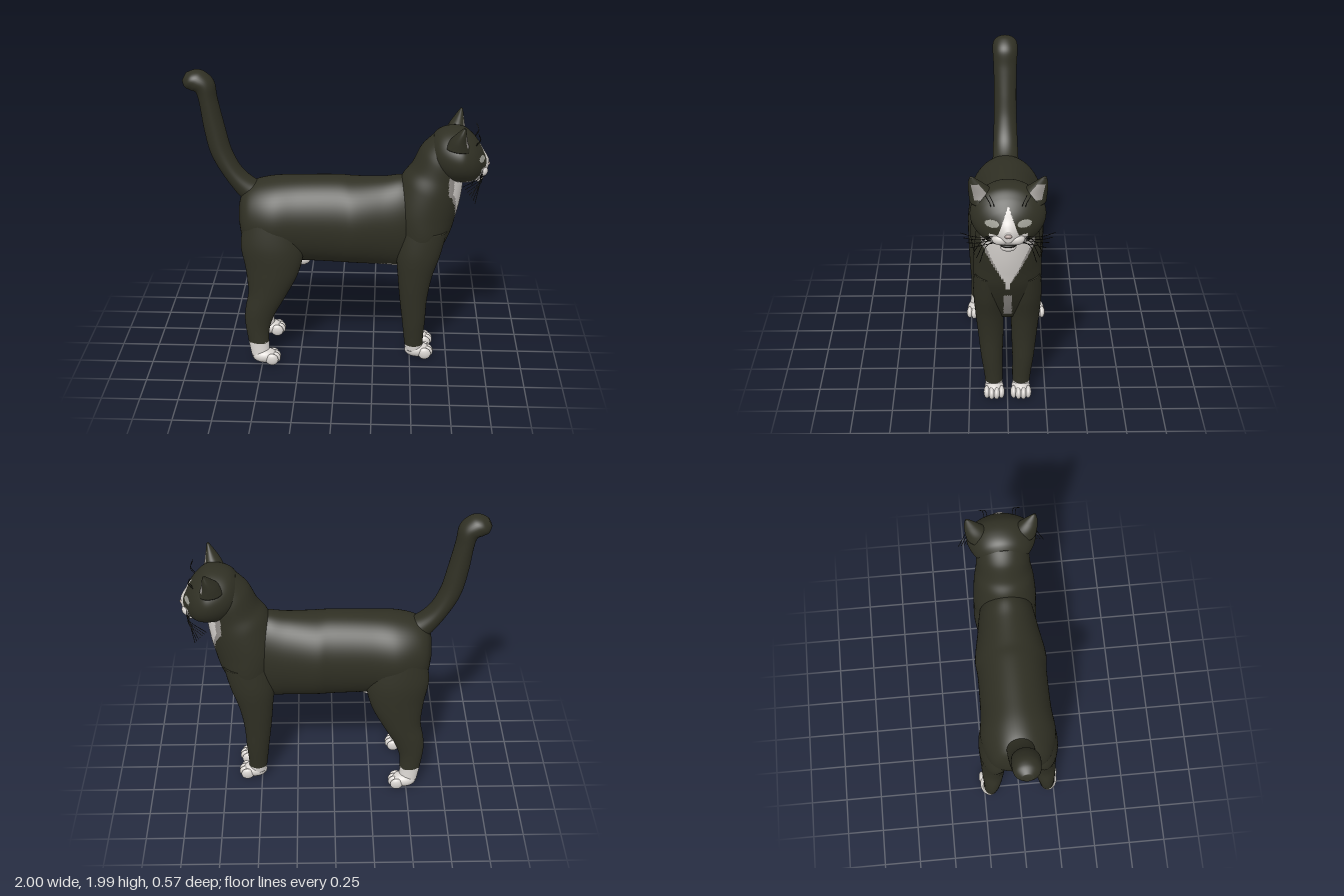
import * as THREE from 'three';

const material = (name, color) => {
  const m = new THREE.MeshStandardMaterial({ color });
  m.name = name;
  return m;
};
const fur = material('black fur', 0x303024);
const white = material('white fur', 0xd8d4d0);
const grey = material('grey fur', 0x96928e);
const eyeColor = material('pale eye', 0xa3a39a);
const noseColor = material('nose pink', 0xb5a5a0);
const dark = material('dark lines', 0x1c1b17);

const spline = (a, b, c, d, t) =>
  b + 0.5 * t * (c - a + t * (2 * a - 5 * b + 4 * c - d + t * (3 * (b - c) + d - a)));

// Smooth skin through oval sections. Each section is [px, py, qx, qy, zCentre, zHalf]:
// P and Q are opposite edges in the side plane. The rule picks a material per face.
function loft(name, sections, { side = 1, around = 40, steps = 8, mats = [fur], rule = () => 0 } = {}) {
  const pos = [], sins = [], tris = [];
  const last = sections.length - 1, rings = last * steps + 1;
  const at = (i) => sections[Math.min(last, Math.max(0, i))];
  for (let r = 0; r < rings; r++) {
    const i = Math.min(last - 1, Math.floor(r / steps)), t = r / steps - i;
    const [px, py, qx, qy, zc, zh] = at(i).map((v, k) => spline(at(i - 1)[k], v, at(i + 1)[k], at(i + 2)[k], t));
    for (let j = 0; j < around; j++) {
      const a = (j / around) * Math.PI * 2, s = Math.sin(a);
      pos.push((px + qx) / 2 + (s * (px - qx)) / 2, (py + qy) / 2 + (s * (py - qy)) / 2, zc * side + Math.cos(a) * zh);
      sins.push(s);
    }
  }
  for (let r = 0; r < rings - 1; r++) {
    for (let j = 0; j < around; j++) {
      const a = r * around + j, b = r * around + ((j + 1) % around);
      tris.push([a, b, b + around], [a, b + around, a + around]);
    }
  }
  // End caps
  for (const [k, flip] of [[0, true], [last, false]]) {
    const [px, py, qx, qy, zc] = sections[k];
    const c = pos.length / 3, base = k ? (rings - 1) * around : 0;
    pos.push((px + qx) / 2, (py + qy) / 2, zc * side);
    sins.push(0);
    for (let j = 0; j < around; j++) {
      const a = base + j, b = base + ((j + 1) % around);
      tris.push(flip ? [b, a, c] : [a, b, c]);
    }
  }
  // Turn faces outward, using the signed volume
  const point = (i) => new THREE.Vector3().fromArray(pos, i * 3);
  let volume = 0;
  for (const [a, b, c] of tris) volume += point(a).dot(point(b).cross(point(c)));
  const buckets = mats.map(() => []);
  for (const [a, b, c] of tris) {
    const m = point(a).add(point(b)).add(point(c)).divideScalar(3);
    const k = rule(m.x, m.y, m.z, (sins[a] + sins[b] + sins[c]) / 3);
    buckets[k].push(...(volume < 0 ? [a, c, b] : [a, b, c]));
  }
  const geo = new THREE.BufferGeometry();
  geo.setAttribute('position', new THREE.Float32BufferAttribute(pos, 3));
  geo.setIndex(buckets.flat());
  let start = 0;
  buckets.forEach((bucket, k) => {
    geo.addGroup(start, bucket.length, k);
    start += bucket.length;
  });
  geo.computeVertexNormals();
  const mesh = new THREE.Mesh(geo, mats);
  mesh.name = name;
  return mesh;
}

function blob(name, mat, center, radii) {
  const mesh = new THREE.Mesh(new THREE.SphereGeometry(1, 24, 16), mat);
  mesh.name = name;
  mesh.position.set(...center);
  mesh.scale.set(...radii);
  return mesh;
}

function hair(name, points) {
  const curve = new THREE.CatmullRomCurve3(points.map((p) => new THREE.Vector3(...p)));
  const mesh = new THREE.Mesh(new THREE.TubeGeometry(curve, 10, 0.0022, 5), dark);
  mesh.name = name;
  return mesh;
}

// Foot with four toes
function paw(name, x, z) {
  const group = new THREE.Group();
  group.name = name;
  group.add(blob('pawBase', white, [x, 0.055, z], [0.085, 0.05, 0.062]));
  [-1.5, -0.5, 0.5, 1.5].forEach((k) => {
    const reach = Math.abs(k) > 1 ? 0.052 : 0.066;
    group.add(blob('toe', white, [x + reach, 0.044, z + k * 0.032], [0.043, 0.041, 0.021]));
  });
  return group;
}

export function createModel() {
  const cat = new THREE.Group();
  cat.name = 'cat';

  // Trunk with a pale belly stripe: [x, bottom, top, half width]
  const trunk = [
    [-0.65, 0.92, 1.1, 0.08], [-0.62, 0.8, 1.19, 0.17], [-0.55, 0.72, 1.24, 0.22], [-0.42, 0.69, 1.27, 0.25],
    [-0.25, 0.69, 1.28, 0.235], [0, 0.68, 1.285, 0.232], [0.12, 0.675, 1.277, 0.24], [0.3, 0.665, 1.28, 0.21],
    [0.42, 0.66, 1.295, 0.19], [0.5, 0.72, 1.28, 0.17],
  ].map(([x, low, high, half]) => [x, low, x, high, 0, half]);
  cat.add(loft('trunk', trunk, {
    around: 64, mats: [fur, white],
    rule: (x, y, z) => (x > -0.27 && y < 0.8 && Math.abs(z) < 0.09 ? 1 : 0),
  }));
  cat.add(blob('bellyTuft', white, [-0.24, 0.683, 0], [0.06, 0.042, 0.05]));

  // Chest and neck with a tapering bib
  cat.add(loft('chestAndNeck', [
    [0.58, 0.6, 0.46, 0.6, 0, 0.07], [0.67, 0.74, 0.4, 0.71, 0, 0.18], [0.75, 0.9, 0.38, 0.88, 0, 0.212],
    [0.785, 1.02, 0.36, 1.08, 0, 0.212], [0.81, 1.13, 0.42, 1.28, 0, 0.2], [0.825, 1.24, 0.49, 1.38, 0, 0.182],
    [0.82, 1.3, 0.55, 1.5, 0, 0.175], [0.8, 1.38, 0.63, 1.58, 0, 0.16],
  ], {
    around: 96, steps: 12, mats: [fur, white, grey],
    rule: (x, y, z, front) => {
      if (front < 0.1) return 0;
      const d = Math.abs(z);
      const bib = Math.min(0.165, 0.012 + Math.max(0, y - 0.94) * 0.55);
      if (y > 0.9 && d < bib) return d < bib * 0.85 ? 1 : 2;
      return y > 0.64 && y < 0.84 && d < 0.026 ? 2 : 0;
    },
  }));

  // Head with blaze, muzzle patch and eyes
  cat.add(loft('head', [
    [0.62, 1.38, 0.6, 1.54, 0, 0.1], [0.66, 1.32, 0.66, 1.61, 0, 0.17], [0.73, 1.28, 0.74, 1.635, 0, 0.215],
    [0.8, 1.27, 0.82, 1.628, 0, 0.228], [0.87, 1.27, 0.88, 1.585, 0, 0.198], [0.92, 1.29, 0.925, 1.53, 0, 0.145],
    [0.95, 1.3, 0.955, 1.48, 0, 0.085], [0.97, 1.33, 0.975, 1.45, 0, 0.055], [0.985, 1.35, 0.99, 1.42, 0, 0.03],
  ], {
    around: 112, steps: 14, mats: [fur, white, eyeColor],
    rule: (x, y, z) => {
      const d = Math.abs(z);
      if (x > 0.8 && ((d - 0.097) / 0.042) ** 2 + ((y - 1.45) / 0.023) ** 2 < 1) return 2;
      if (x > 0.84 && y < 1.385 && d < 0.115) return 1;
      if (x > 0.72 && y < 1.31 && d < 0.13) return 1;
      return x > 0.84 && y >= 1.385 && d < 0.37 * (1.555 - y) ? 1 : 0;
    },
  }));
  cat.add(blob('nose', noseColor, [0.983, 1.388, 0], [0.017, 0.015, 0.023]));
  cat.add(blob('mouth', dark, [0.943, 1.313, 0], [0.036, 0.013, 0.05]));
  cat.add(blob('chin', white, [0.925, 1.288, 0], [0.035, 0.024, 0.048]));

  // Tail, upright with a curled tip
  cat.add(loft('tail', [
    [-0.58, 1.08, -0.45, 1.22, 0, 0.09], [-0.65, 1.14, -0.54, 1.25, 0, 0.09], [-0.75, 1.28, -0.63, 1.33, 0, 0.085],
    [-0.83, 1.43, -0.695, 1.46, 0, 0.08], [-0.87, 1.6, -0.735, 1.62, 0, 0.078], [-0.895, 1.78, -0.775, 1.8, 0, 0.081],
    [-0.915, 1.85, -0.795, 1.92, 0, 0.086], [-0.95, 1.865, -0.86, 1.985, 0, 0.087],
    [-0.985, 1.885, -0.92, 1.995, 0, 0.076], [-1, 1.925, -0.975, 1.975, 0, 0.035],
  ]));

  for (const side of [1, -1]) {
    const label = side > 0 ? 'Far' : 'Near';
    const sock = (height) => ({ side, steps: 10, mats: [fur, white], rule: (x, y) => (y < height ? 1 : 0) });

    // Legs
    cat.add(loft('frontLeg' + label, [
      [0.73, 0.95, 0.42, 0.95, 0.115, 0.095], [0.69, 0.78, 0.4, 0.78, 0.118, 0.1], [0.64, 0.62, 0.41, 0.62, 0.115, 0.092],
      [0.61, 0.45, 0.425, 0.45, 0.108, 0.082], [0.6, 0.28, 0.445, 0.28, 0.102, 0.07],
      [0.59, 0.14, 0.46, 0.14, 0.092, 0.06], [0.59, 0.06, 0.47, 0.06, 0.09, 0.055],
    ], sock(0.1)));
    cat.add(paw('frontPaw' + label, 0.55, 0.088 * side));
    cat.add(loft('hindLeg' + label, [
      [-0.26, 1.02, -0.6, 1.04, 0.13, 0.11], [-0.22, 0.82, -0.635, 0.86, 0.15, 0.115], [-0.25, 0.66, -0.605, 0.68, 0.165, 0.1],
      [-0.33, 0.5, -0.59, 0.52, 0.175, 0.085], [-0.41, 0.36, -0.61, 0.4, 0.185, 0.07],
      [-0.45, 0.25, -0.615, 0.3, 0.192, 0.058], [-0.455, 0.15, -0.595, 0.16, 0.2, 0.052], [-0.45, 0.05, -0.575, 0.06, 0.21, 0.052],
    ], sock(0.155)));
    cat.add(paw('hindPaw' + label, -0.485, 0.215 * side));

    // Ears with pale insides
    cat.add(loft('ear' + label, [
      [0.86, 1.52, 0.7, 1.54, 0.145, 0.085], [0.84, 1.58, 0.73, 1.6, 0.163, 0.073],
      [0.83, 1.64, 0.77, 1.65, 0.192, 0.045], [0.822, 1.69, 0.808, 1.695, 0.216, 0.012],
    ], {
      side, steps: 12, mats: [fur, grey],
      rule: (x, y, z, front) => (front > 0.8 && y > 1.555 && y < 1.65 ? 1 : 0),
    }));

    // Muzzle cheeks, whiskers and brow hairs
    cat.add(blob('muzzle' + label, white, [0.942, 1.352, 0.044 * side], [0.043, 0.037, 0.055]));
    for (let i = 0; i < 7; i++) {
      const y = 1.37 - (i % 4) * 0.013, end = 0.285 - i * 0.019;
      cat.add(hair('whisker' + label, [
        [0.95 - (i % 3) * 0.012, y, 0.075 * side],
        [0.93, y - 0.012 - i * 0.006, (0.08 + end) * 0.52 * side],
        [0.81 + i * 0.015, 1.325 - i * 0.026, end * side],
      ]));
    }
    for (let i = 0; i < 2; i++) {
      cat.add(hair('browHair' + label, [
        [0.89, 1.53, (0.08 + i * 0.02) * side], [0.925, 1.58, (0.09 + i * 0.02) * side], [0.91, 1.62, (0.11 + i * 0.025) * side],
      ]));
    }
  }
  return cat;
}
